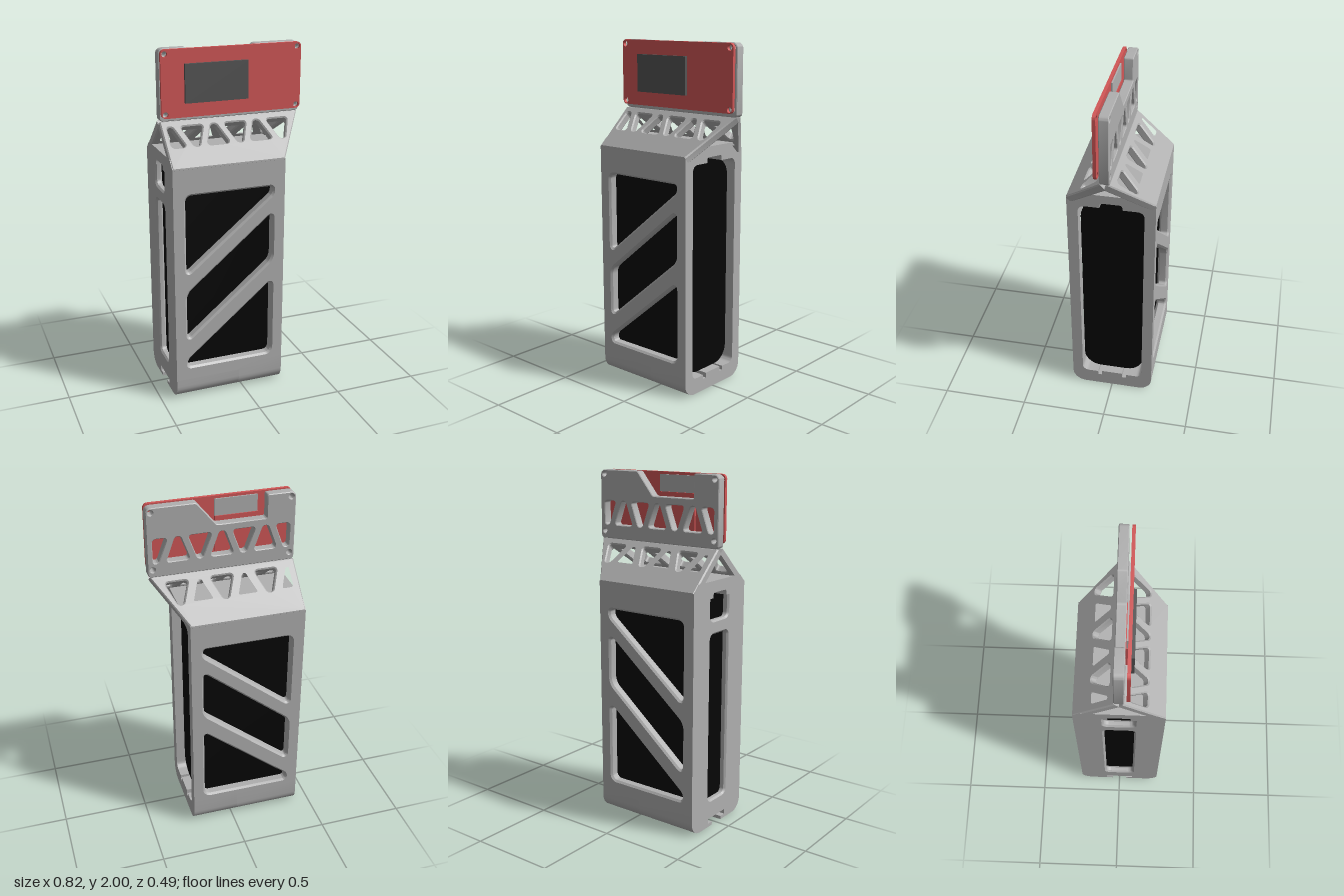
import * as THREE from 'three';
import { toCreasedNormals } from 'three/addons/utils/BufferGeometryUtils.js';

const material = (name, color) => Object.assign(new THREE.MeshStandardMaterial({ color }), { name });

// Polygon [x, y, radius?] with rounded corners, drawn into a Shape or Path
function rounded(points, r = 0, target = new THREE.Shape()) {
  const n = points.length;
  points.forEach((p, i) => {
    const c = new THREE.Vector2(p[0], p[1]);
    const a = new THREE.Vector2(...points[(i + n - 1) % n].slice(0, 2)).sub(c);
    const b = new THREE.Vector2(...points[(i + 1) % n].slice(0, 2)).sub(c);
    const rad = Math.min(p[2] ?? r, a.length() * 0.45, b.length() * 0.45);
    const s = a.setLength(rad).add(c), e = b.setLength(rad).add(c);
    if (i === 0) target.moveTo(s.x, s.y); else target.lineTo(s.x, s.y);
    if (rad > 0) target.bezierCurveTo(
      s.x + (c.x - s.x) * 0.55, s.y + (c.y - s.y) * 0.55,
      e.x + (c.x - e.x) * 0.55, e.y + (c.y - e.y) * 0.55, e.x, e.y);
  });
  target.closePath();
  return target;
}
const rect = (x0, x1, y0, y1) => [[x0, y0], [x1, y0], [x1, y1], [x0, y1]];

// Plate from z = 0 to depth; the chamfer keeps the outline at its full size
function plate(shape, depth, chamfer = 0) {
  return toCreasedNormals(new THREE.ExtrudeGeometry(shape, {
    depth: depth - 2 * chamfer, curveSegments: 7, bevelEnabled: chamfer > 0, bevelSegments: 1,
    bevelSize: chamfer, bevelThickness: chamfer, bevelOffset: -chamfer,
  }).translate(0, 0, chamfer), 0.5);
}
// Profile in (z, y) run along x, for profiles symmetric in z
const alongX = (shape, x0, x1, chamfer = 0) =>
  plate(shape, x1 - x0, chamfer).rotateY(Math.PI / 2).translate(x0, 0, 0);

// Row of alternating truss triangles, cut off beyond +-limit
function truss(startX, step, count, y0, y1, half, baseLowFirst, limit) {
  const cut = x => THREE.MathUtils.clamp(x, -limit, limit);
  return Array.from({ length: count }, (_, i) => {
    const x = startX + i * step;
    const low = (i % 2 === 0) === baseLowFirst;
    const base = low ? y0 : y1, tip = low ? y1 : y0;
    return [[cut(x - half), base], [cut(x + half), base], [cut(x + 0.015), tip], [cut(x - 0.015), tip]];
  });
}

export function createModel() {
  const model = new THREE.Group();
  model.name = 'batteryHolder';
  const grey = material('grey plastic', 0xb0b0b0);
  const red = material('red board', 0xd25757);
  const dark = material('dark screen', 0x555555);
  const black = material('black battery', 0x060606);
  const add = (name, geometry, mat = grey) => {
    const mesh = new THREE.Mesh(geometry, mat);
    mesh.name = name;
    model.add(mesh);
  };
  const L = -0.413, R = 0.242;

  // Front and back walls, with slanted windows, and sloping truss shoulders
  const windows = [
    [[-0.342, 1.24], [0.172, 1.24], [0.172, 1.195], [-0.342, 0.775]],
    [[0.172, 1.085], [0.172, 0.8], [-0.342, 0.372], [-0.342, 0.66]],
    [[0.172, 0.67], [0.172, 0.2], [-0.342, 0.2], [-0.342, 0.243]],
  ];
  const shoulderHoles = truss(-0.365, 0.126, 6, 0.13, 0.262, 0.066, true, 0.382);
  const slope = Math.atan2(0.225, 0.21);
  for (const side of [1, -1]) {
    const flip = pts => pts.map(([x, ...rest]) => [x * side, ...rest]);
    const turn = side > 0 ? 0 : Math.PI;
    const name = side > 0 ? 'front' : 'back';

    const wall = rounded(flip(rect(L, R, 0.11, 1.37)));
    wall.holes = windows.map(w => rounded(flip(w), 0.035, new THREE.Path()));
    add(name + 'Wall', plate(wall, 0.062, 0.011).translate(0, 0, 0.185).rotateY(turn));

    // Square posts at both ends of the wall
    for (const x of [L + 0.01, R - 0.01])
      add(name + 'Post', new THREE.BoxGeometry(0.02, 1.1, 0.062).translate(x, 0.72, side * 0.216));

    const shoulder = rounded(flip([[L, -0.007], [R, -0.007], [R, 0], [0.405, 0.305], [L, 0.305]]));
    shoulder.holes = shoulderHoles.map(h => rounded(flip(h), 0.022, new THREE.Path()));
    add(name + 'Shoulder', plate(shoulder, 0.048, 0.007).translate(0, 0, -0.048)
      .rotateX(-slope).translate(0, 1.4, 0.247).rotateY(turn));
  }

  // Floor with rounded outer edges, two grooves inside and a T-slot underneath at one end
  const floorProfile = slot => rounded([
    [-0.247, 0.175], [-0.247, 0, 0.09],
    ...(slot ? [[-0.045, 0], [-0.045, 0.02], [-0.085, 0.02], [-0.085, 0.05],
      [0.085, 0.05], [0.085, 0.02], [0.045, 0.02], [0.045, 0]] : []),
    [0.247, 0, 0.09], [0.247, 0.175], [0.185, 0.175], [0.185, 0.095, 0.075],
    [0.088, 0.095], [0.088, 0.07], [0.063, 0.07], [0.063, 0.1],
    [-0.063, 0.1], [-0.063, 0.07], [-0.088, 0.07], [-0.088, 0.095],
    [-0.185, 0.095, 0.075], [-0.185, 0.175],
  ]);
  add('floor', alongX(floorProfile(false), -0.03, R));
  add('slottedFloor', alongX(floorProfile(true), L, -0.03));

  // Roof of the battery bay, with a finger notch, and its lip under the slanted end
  add('roof', alongX(rounded([
    [-0.247, 1.265], [-0.247, 1.395], [-0.2, 1.44], [0.2, 1.44], [0.247, 1.395],
    [0.247, 1.265], [0.185, 1.265], [0.185, 1.345, 0.075], [0.063, 1.345],
    [0.063, 1.375, 0.015], [-0.063, 1.375, 0.015], [-0.063, 1.345], [-0.185, 1.345, 0.075], [-0.185, 1.265],
  ]), L, R));
  add('roofLip', alongX(rounded([[-0.21, 1.42], [0.21, 1.42], [0.195, 1.44], [-0.195, 1.44]]), R, 0.262));

  // Closed end wall with a long slot and a square window
  const endWall = rounded(rect(-0.215, 0.215, 0.06, 1.41));
  endWall.holes = [rect(-0.085, 0.085, 0.16, 1.14), rect(-0.085, 0.085, 1.22, 1.375)]
    .map(h => rounded(h, 0.03, new THREE.Path()));
  add('endWall', alongX(endWall, L, -0.372, 0.01));

  // Battery
  add('battery', alongX(rounded(rect(-0.182, 0.182, 0.1, 1.342), 0.1), -0.368, 0.188), black);

  // Mounting plate with a notch in its top edge, truss holes and screw holes
  const screwHoles = radius => [[-0.385, 1.975], [0.385, 1.975], [-0.385, 1.648], [0.385, 1.648]]
    .map(([x, y]) => new THREE.Path().absarc(x, y, radius, 0, Math.PI * 2));
  const mount = rounded([
    [-0.412, 1.605, 0.02], [0.412, 1.605, 0.02], [0.412, 2, 0.03], [0.14, 2, 0.01],
    [0.03, 1.865, 0.01], [-0.25, 1.865, 0.01], [-0.25, 2, 0.01], [-0.412, 2, 0.03],
  ]);
  mount.holes = [
    ...truss(-0.366, 0.122, 7, 1.685, 1.825, 0.066, false, 0.383)
      .map(h => rounded(h, 0.022, new THREE.Path())),
    ...screwHoles(0.014),
  ];
  add('mountingPlate', plate(mount, 0.054, 0.004).translate(0, 0, -0.028));

  // Circuit board with its rear block, connector and screen
  const board = rounded(rect(-0.408, 0.408, 1.627, 2), 0.025);
  board.holes = screwHoles(0.016);
  add('board', plate(board, 0.018).translate(0, 0, 0.039), red);
  add('rearBlock', plate(rounded(rect(-0.218, 0.025, 1.67, 1.89)), 0.013).translate(0, 0, 0.026), red);
  add('connector', plate(rounded(rect(-0.215, 0.025, 1.89, 1.985)), 0.008).translate(0, 0, 0.031));
  add('screen', plate(rounded(rect(-0.277, 0.087, 1.706, 1.92)), 0.017).translate(0, 0, 0.056), dark);

  return model;
}
